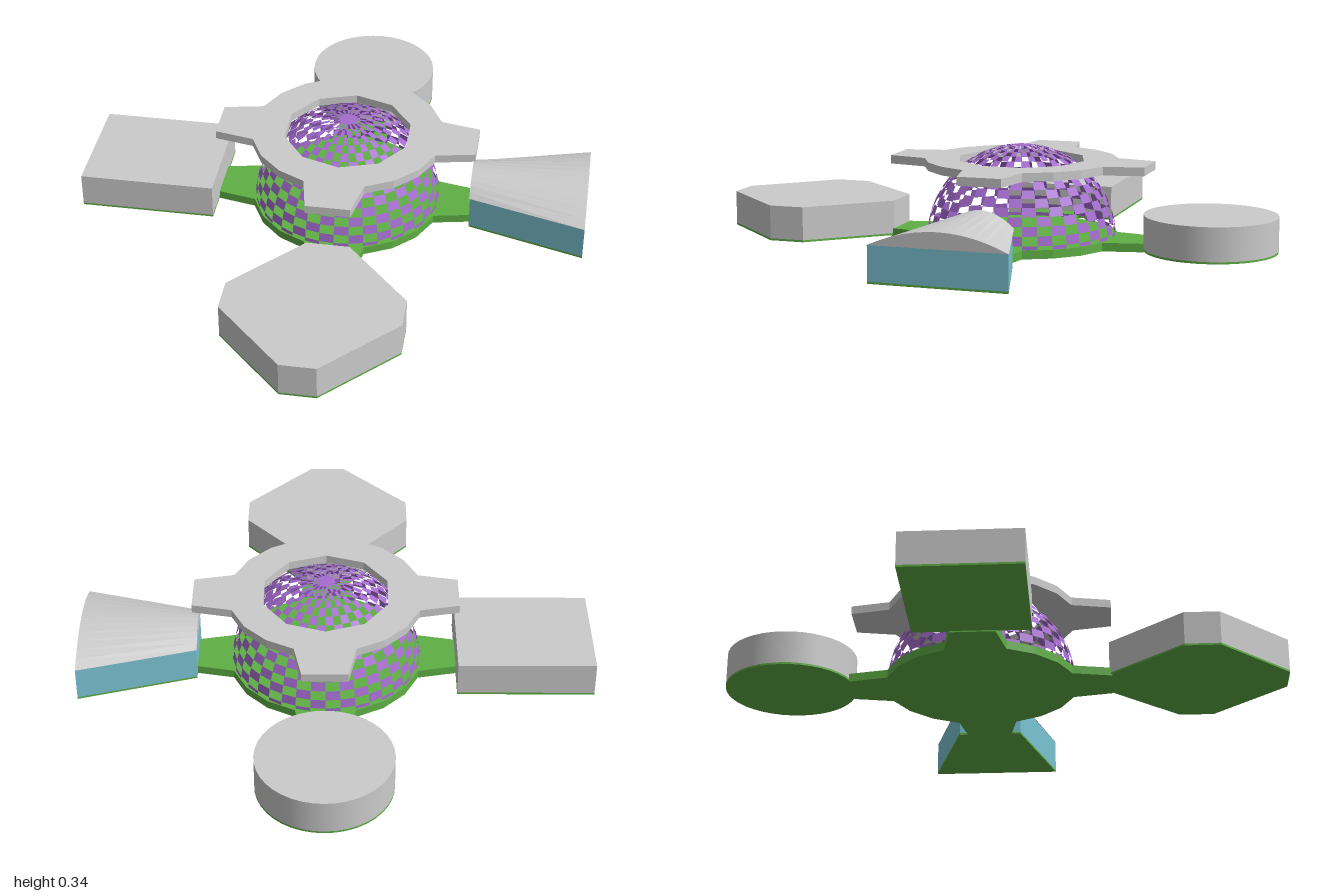
import * as THREE from 'three';

const CX = 0.035, CZ = -0.085; // centre of the dome
const mat = (color, extra = {}) => new THREE.MeshStandardMaterial({ color, ...extra });

// Upright prism from a plan outline of [x, z] points
function prism(points, y0, y1, hole) {
  const shape = new THREE.Shape(points.map(([x, z]) => new THREE.Vector2(x, -z)));
  if (hole) shape.holes.push(new THREE.Path(hole.map(([x, z]) => new THREE.Vector2(x, -z))));
  const geo = new THREE.ExtrudeGeometry(shape, { depth: y1 - y0, bevelEnabled: false });
  return geo.rotateX(-Math.PI / 2).translate(0, y0, 0);
}

// Counter-clockwise seen from above
const polar = (r, deg) => {
  const a = THREE.MathUtils.degToRad(deg);
  return [CX + r * Math.cos(a), CZ - r * Math.sin(a)];
};

// Twenty-sided hub with a tapering arm on each axis
function hubOutline() {
  const pts = [], end = Math.hypot(0.465, 0.078), spread = THREE.MathUtils.radToDeg(Math.atan2(0.078, 0.465));
  for (let q = 0; q < 360; q += 90) {
    pts.push(polar(0.342, q - 18), polar(end, q - spread), polar(end, q + spread));
    pts.push(polar(0.342, q + 18), polar(0.342, q + 36), polar(0.342, q + 54));
  }
  return pts;
}

// Checkerboard of flat panels on a hemisphere, closed at the crown
function domeGeometry(radius, cols, rows) {
  const pos = [];
  const point = (i, j) => {
    const a = (i / cols) * Math.PI * 2, e = (j / rows) * Math.PI / 2;
    return [radius * Math.cos(e) * Math.cos(a), radius * Math.sin(e), -radius * Math.cos(e) * Math.sin(a)];
  };
  for (let j = 0; j < rows; j++) {
    for (let i = 0; i < cols; i++) {
      if ((i + j) % 2 && j < rows - 1) continue;
      const a = point(i, j), b = point(i + 1, j), c = point(i + 1, j + 1), d = point(i, j + 1);
      pos.push(...a, ...b, ...c);
      if (j < rows - 1) pos.push(...a, ...c, ...d);
    }
  }
  const geo = new THREE.BufferGeometry();
  geo.setAttribute('position', new THREE.Float32BufferAttribute(pos, 3));
  geo.computeVertexNormals();
  return geo;
}

// Arched roof solid widening from the inner to the outer end
function roofGeometry(x0, half0, x1, half1, eave, rise, n = 12) {
  const pos = [];
  const arc = (x, half, i) => {
    const t = (i / n) * 2 - 1;
    return [x, eave + rise * (1 - t * t), CZ + t * half];
  };
  const mid0 = [x0, eave, CZ], mid1 = [x1, eave, CZ];
  for (let i = 0; i < n; i++) {
    const a = arc(x0, half0, i), b = arc(x0, half0, i + 1);
    const c = arc(x1, half1, i + 1), d = arc(x1, half1, i);
    pos.push(...a, ...b, ...c, ...a, ...c, ...d); // curved skin
    pos.push(...mid0, ...b, ...a, ...mid1, ...d, ...c); // end gables
  }
  const geo = new THREE.BufferGeometry();
  geo.setAttribute('position', new THREE.Float32BufferAttribute(pos, 3));
  geo.computeVertexNormals();
  return geo;
}

export function createModel() {
  const group = new THREE.Group();
  const grey = mat(0xcccccc, { flatShading: true });
  const roofGrey = mat(0xcccccc, { side: THREE.DoubleSide });
  const smoothGrey = mat(0xcccccc);
  const green = mat(0x5fb045, { flatShading: true });
  const teal = mat(0x7cc4d4, { flatShading: true });
  const purple = mat(0xa56cd0, { side: THREE.DoubleSide, flatShading: true });
  const add = (name, geo, material) => {
    const mesh = new THREE.Mesh(geo, material);
    mesh.name = name;
    group.add(mesh);
    return mesh;
  };
  const FLOOR = 0.005, BASE = 0.012, TOP = 0.13;

  // Central hub: floor, dome and raised ring
  const hub = hubOutline();
  const hole = Array.from({ length: 10 }, (_, i) => polar(0.228, 90 + i * 36));
  add('hubFloor', prism(hub, 0, 0.03), green);
  add('dome', domeGeometry(0.335, 40, 16), purple).position.set(CX, 0.01, CZ);
  add('ringRoof', prism(hub, 0.265, 0.295, hole), grey);

  // Rooms with straight walls, each on a thin green slab
  const rooms = {
    squareRoom: [[-0.905, 0.115], [-0.425, 0.115], [-0.425, -0.29], [-0.905, -0.29]],
    octagonRoom: [[-0.04, 0.37], [-0.27, 0.625], [-0.27, 0.75], [-0.025, 1],
      [0.1, 1], [0.34, 0.75], [0.34, 0.625], [0.11, 0.37]],
    wedgeRoom: [[0.49, CZ + 0.115], [0.9, CZ + 0.235], [0.9, CZ - 0.235], [0.49, CZ - 0.115]],
  };
  for (const [name, outline] of Object.entries(rooms)) {
    add(name + 'Floor', prism(outline, FLOOR, BASE), green);
    add(name, prism(outline, BASE, TOP), name === 'wedgeRoom' ? teal : grey);
  }
  add('wedgeRoof', roofGeometry(0.487, 0.118, 0.9, 0.236, TOP, 0.055), roofGrey);

  // Round room at the back
  const round = (y0, y1) => new THREE.CylinderGeometry(0.232, 0.232, y1 - y0, 40)
    .translate(CX, (y0 + y1) / 2, -0.768);
  add('roundRoomFloor', round(FLOOR, BASE), green);
  add('roundRoom', round(BASE, TOP), smoothGrey);

  return group;
}
